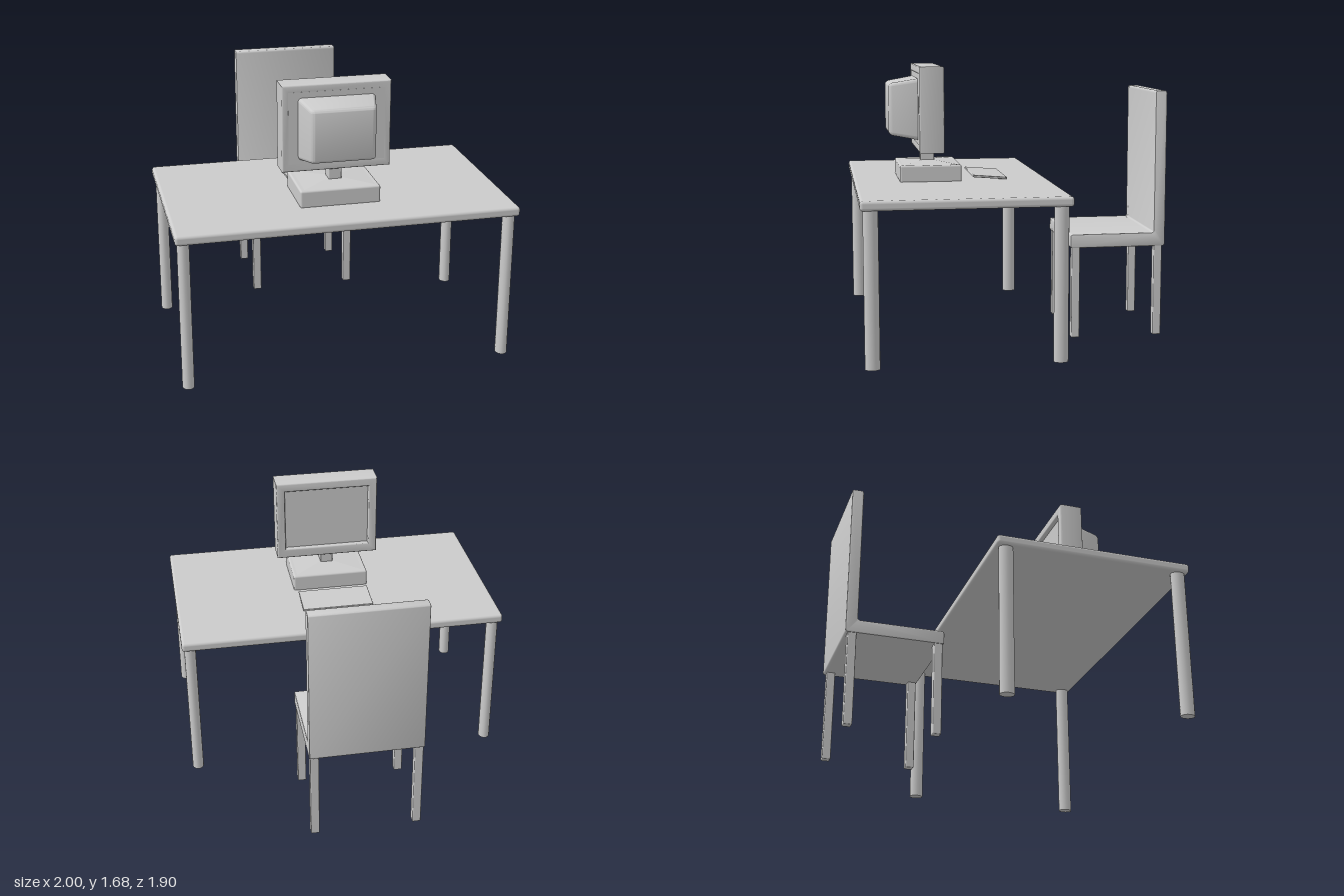
import * as THREE from 'three';
import { toCreasedNormals } from 'three/addons/utils/BufferGeometryUtils.js';
import { RoundedBoxGeometry } from 'three/addons/geometries/RoundedBoxGeometry.js';

const grey = new THREE.MeshStandardMaterial({ color: 0xcccccc });

function add(parent, name, geometry, x = 0, y = 0, z = 0) {
  const mesh = new THREE.Mesh(geometry, grey);
  mesh.name = name;
  mesh.position.set(x, y, z);
  parent.add(mesh);
  return mesh;
}

function group(parent, name) {
  const g = new THREE.Group();
  g.name = name;
  parent.add(g);
  return g;
}

// Box given by its limits, with softened edges
function block(parent, name, [x0, x1], [y0, y1], [z0, z1], r) {
  const geo = new RoundedBoxGeometry(x1 - x0, y1 - y0, z1 - z0, 3, r);
  return add(parent, name, geo, (x0 + x1) / 2, (y0 + y1) / 2, (z0 + z1) / 2);
}

// Closed outline with every corner rounded
function roundedOutline(points, r) {
  const shape = new THREE.Shape();
  const pts = points.map(p => new THREE.Vector2(...p));
  pts.forEach((p, i) => {
    const toward = q => p.clone().add(q.clone().sub(p).setLength(r));
    const a = toward(pts.at(i - 1));
    const b = toward(pts[(i + 1) % pts.length]);
    if (i === 0) shape.moveTo(a.x, a.y);
    else shape.lineTo(a.x, a.y);
    shape.quadraticCurveTo(p.x, p.y, b.x, b.y);
  });
  shape.closePath();
  return shape;
}

function buildTable(root) {
  const table = group(root, 'table');
  block(table, 'tableTop', [-1, 1], [0.925, 0.982], [-0.238, 0.952], 0.018);
  // Slightly oval legs
  const leg = new THREE.CylinderGeometry(1, 1, 0.9, 16);
  leg.scale(0.035, 1, 0.043);
  for (const x of [-0.95, 0.95])
    for (const z of [-0.174, 0.893]) add(table, 'tableLeg', leg, x, 0.48, z);
}

function buildChair(root) {
  const chair = group(root, 'chair');
  // Seat and back share one L-shaped side profile, drawn with -z to the right
  const profile = roundedOutline([
    [0.355, 0.565], [0.952, 0.565], [0.952, 1.527],
    [0.88, 1.527], [0.88, 0.65], [0.355, 0.65],
  ], 0.016);
  const bevel = 0.008;
  const geo = new THREE.ExtrudeGeometry(profile, {
    depth: 0.685 - 2 * bevel, bevelThickness: bevel, bevelSize: bevel,
    bevelOffset: -bevel, bevelSegments: 2, curveSegments: 5,
  });
  geo.translate(0, 0, -0.685 / 2 + bevel).rotateY(Math.PI / 2);
  add(chair, 'seatAndBack', toCreasedNormals(geo, 0.6));
  for (const x of [-0.312, 0.31])
    for (const z of [-0.39, -0.91])
      block(chair, 'chairLeg', [x - 0.026, x + 0.026], [0, 0.58], [z - 0.026, z + 0.026], 0.006);
}

function buildMonitor(root) {
  const monitor = group(root, 'monitor');

  // Case: frame with a hole, filled behind the recessed screen
  const frame = new THREE.Shape([
    [-0.323, 1.163], [0.323, 1.163], [0.323, 1.68], [-0.323, 1.68],
  ].map(p => new THREE.Vector2(...p)));
  frame.holes.push(new THREE.Path([
    [-0.268, 1.225], [-0.268, 1.625], [0.268, 1.625], [0.268, 1.225],
  ].map(p => new THREE.Vector2(...p))));
  const bevel = 0.01;
  const caseGeo = new THREE.ExtrudeGeometry(frame, {
    depth: 0.15 - 2 * bevel, bevelThickness: bevel, bevelSize: bevel,
    bevelOffset: -bevel, bevelSegments: 3,
  });
  add(monitor, 'monitorCase', toCreasedNormals(caseGeo, 0.6), 0, 0, 0.415 + bevel);
  add(monitor, 'screen', new THREE.BoxGeometry(0.57, 0.43, 0.122), 0, 1.425, 0.505);

  // Tapered tube housing
  const tube = new RoundedBoxGeometry(0.476, 0.385, 0.24, 4, 0.025);
  const pos = tube.attributes.position;
  for (let i = 0; i < pos.count; i++) {
    const t = Math.max(0, (pos.getZ(i) + 0.055) / 0.175);
    pos.setX(i, pos.getX(i) * (1 - 0.22 * t));
    pos.setY(i, pos.getY(i) * (1 - 0.2 * t));
  }
  tube.computeVertexNormals();
  add(monitor, 'tubeHousing', toCreasedNormals(tube, 0.6), 0, 1.42, 0.62);

  // Stand
  block(monitor, 'neck', [-0.04, 0.038], [1.07, 1.18], [0.452, 0.537], 0.006);
  block(monitor, 'base', [-0.24, 0.237], [0.975, 1.082], [0.303, 0.678], 0.012);
  const lid = new THREE.CylinderGeometry(0.2, 1, 0.014, 4, 1, false, Math.PI / 4);
  lid.scale(0.225 * Math.SQRT2, 1, 0.175 * Math.SQRT2);
  add(monitor, 'baseSlope', toCreasedNormals(lid, 0.01), 0, 1.088, 0.49);
}

export function createModel() {
  const root = new THREE.Group();
  root.name = 'computerDesk';
  buildTable(root);
  buildChair(root);
  buildMonitor(root);
  // Keyboard, raised toward the monitor
  const keyboard = add(root, 'keyboard', new RoundedBoxGeometry(0.445, 0.014, 0.21, 2, 0.004), -0.003, 1.0, 0.125);
  keyboard.rotation.x = -0.08;
  return root;
}
